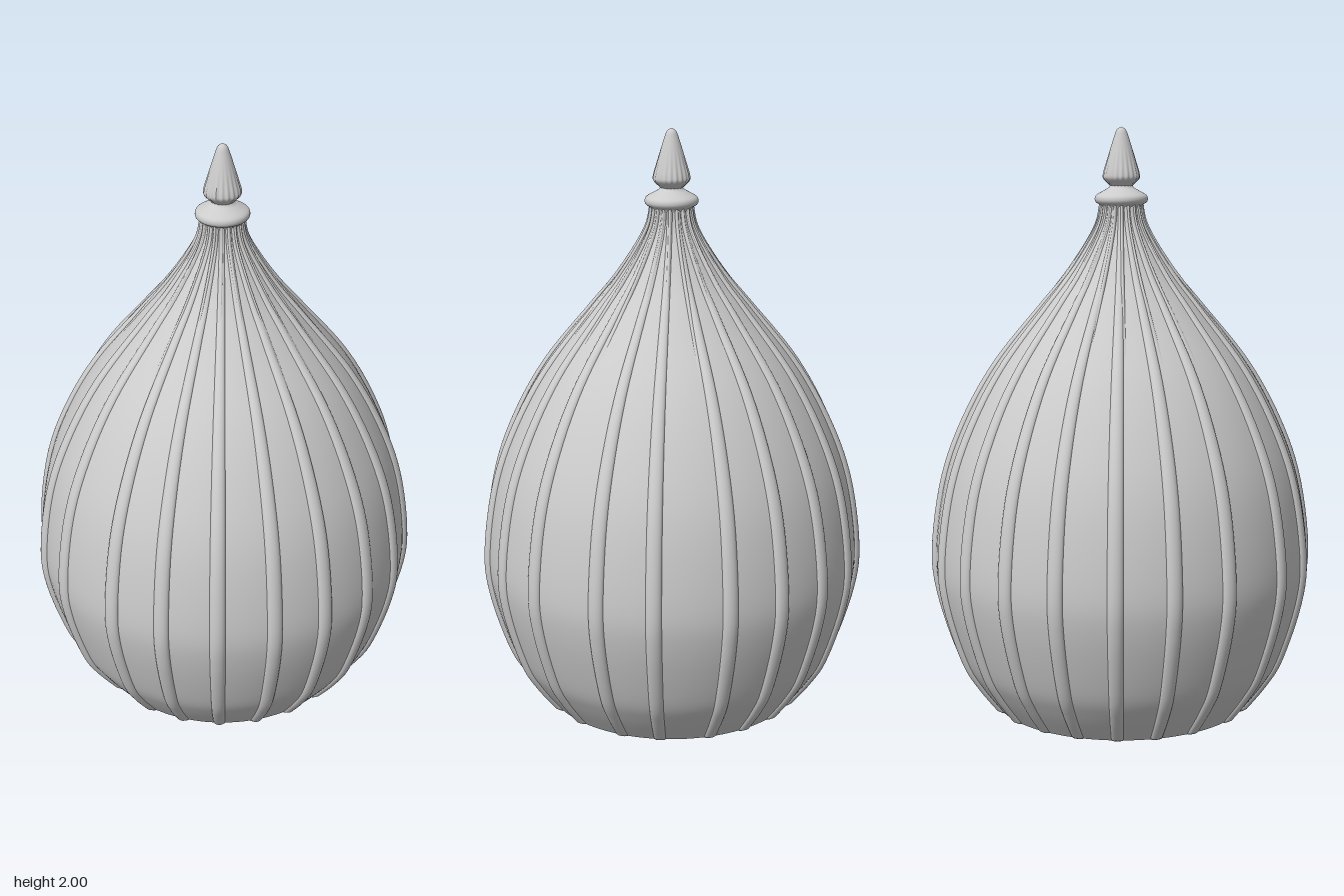
import * as THREE from 'three';
import { ParametricGeometry } from 'three/addons/geometries/ParametricGeometry.js';

const material = new THREE.MeshStandardMaterial({ color: 0xcccccc, side: THREE.DoubleSide });
const toPoints = (pairs) => pairs.map(([r, y]) => new THREE.Vector2(r, y));

// Outline of the bulb, from the foot to the neck
const profile = new THREE.SplineCurve(toPoints([
  [0.44, 0], [0.515, 0.1], [0.57, 0.2], [0.63, 0.4], [0.644, 0.56], [0.61, 0.8],
  [0.54, 1.0], [0.43, 1.2], [0.272, 1.4], [0.19, 1.5], [0.122, 1.6], [0.08, 1.68], [0.066, 1.75],
]));

function add(group, name, geometry) {
  const mesh = new THREE.Mesh(geometry, material);
  mesh.name = name;
  group.add(mesh);
  return mesh;
}

// Half-round moulding that follows the bulb outline at a given angle, from curve position v0 to 1
function ribGeometry(angle, v0, width, height, stacks) {
  const out = new THREE.Vector3(Math.sin(angle), 0, -Math.cos(angle));
  const side = new THREE.Vector3(out.z, 0, -out.x);
  return new ParametricGeometry((u, v, target) => {
    const t = v0 + (1 - v0) * v;
    const p = profile.getPoint(t);
    const d = profile.getTangent(t);
    const lift = height(p.x, v) * Math.sin(Math.PI * u) - 0.002;
    target.copy(out).multiplyScalar(p.x + d.y * lift);
    target.addScaledVector(side, -width(p.x) * Math.cos(Math.PI * u));
    target.y = Math.max(0, p.y - d.x * lift);
  }, 10, stacks);
}

export function createModel() {
  const model = new THREE.Group();
  model.name = 'onionDome';

  // Bulb and its closed underside
  add(model, 'bulb', new THREE.LatheGeometry(profile.getPoints(72), 120));
  const base = add(model, 'base', new THREE.CircleGeometry(0.44, 120));
  base.rotation.x = Math.PI / 2;

  // Main ribs: ten slightly uneven angles, repeated on the opposite half
  const ribs = new THREE.Group();
  ribs.name = 'ribs';
  const angles = [-1.7, 15, 37.2, 54.3, 76.5, 93.8, 110.7, 128.1, 144.5, 161.5];
  for (const half of [0, 180]) {
    for (const a of angles) {
      add(ribs, 'rib', ribGeometry(THREE.MathUtils.degToRad(a + half), 0,
        (r) => 0.007 + 0.03 * r, (r) => 0.005 + 0.02 * r, 64));
    }
  }
  model.add(ribs);

  // Fine ribs that run from the shoulder up to the neck, evenly spaced
  const fineRibs = new THREE.Group();
  fineRibs.name = 'fineRibs';
  for (let i = 0; i < 20; i++) {
    add(fineRibs, 'fineRib', ribGeometry(i * Math.PI / 10, 0.6,
      (r) => 0.005 + 0.01 * r, (r, v) => 0.002 + 0.008 * Math.min(1, v * 3), 30));
  }
  model.add(fineRibs);

  // Rounded collar on the neck
  const collar = new THREE.SplineCurve(toPoints([
    [0.068, 1.72], [0.072, 1.738], [0.086, 1.748], [0.09, 1.76], [0.084, 1.773],
    [0.06, 1.787], [0.042, 1.798], [0.035, 1.812],
  ]));
  add(model, 'collar', new THREE.LatheGeometry(collar.getPoints(32), 64));

  // Bud-shaped finial, fluted around its lower half
  const bud = new THREE.SplineCurve(toPoints([
    [0.034, 1.8], [0.046, 1.812], [0.06, 1.828], [0.06, 1.845], [0.052, 1.875],
    [0.039, 1.92], [0.025, 1.965], [0.015, 1.99], [0, 2],
  ]));
  const finial = new THREE.LatheGeometry(bud.getPoints(40), 120);
  const pos = finial.attributes.position;
  for (let i = 0; i < pos.count; i++) {
    const x = pos.getX(i), y = pos.getY(i), z = pos.getZ(i);
    const depth = 0.03 * THREE.MathUtils.clamp((1.94 - y) / 0.08, 0, 1);
    const s = 1 + depth * Math.cos(20 * Math.atan2(x, z));
    pos.setXYZ(i, x * s, y, z * s);
  }
  finial.computeVertexNormals();
  add(model, 'finial', finial);

  return model;
}
